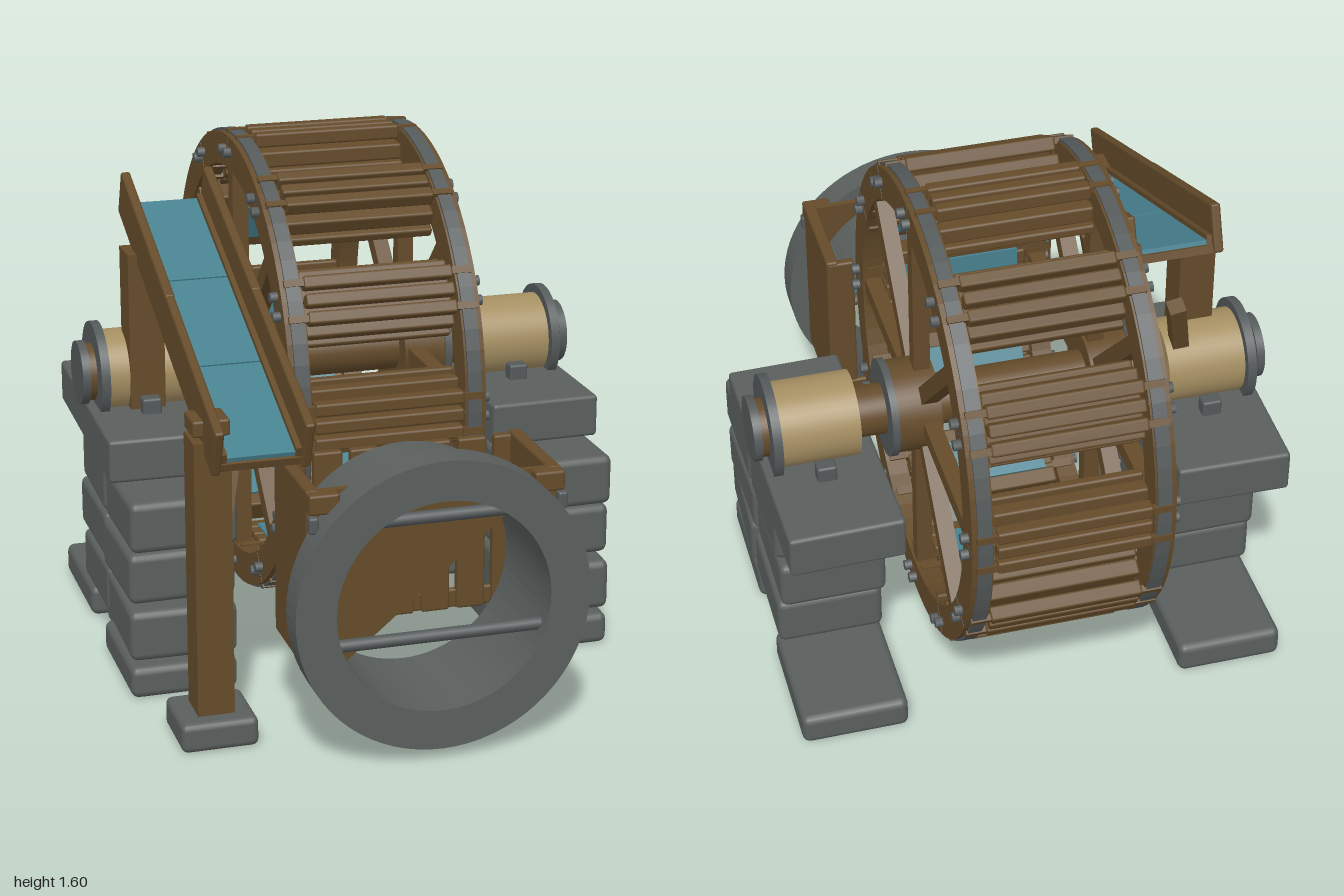
import * as THREE from 'three';
import { RoundedBoxGeometry } from 'three/addons/geometries/RoundedBoxGeometry.js';

const mat = (name, color, side = THREE.FrontSide) => {
  const m = new THREE.MeshStandardMaterial({ color, side });
  m.name = name;
  return m;
};

export function createModel() {
  const wood = mat('wood', 0x644b2a);
  const paleWood = mat('paleWood', 0xa58f62);
  const stone = mat('stone', 0x5a5f5d);
  const iron = mat('iron', 0x54595a);
  const water = mat('water', 0x47818f);

  let seed = 7;
  const rand = () => (seed = (seed * 16807) % 2147483647) / 2147483647 - 0.5;

  const root = new THREE.Group();
  root.name = 'waterMill';
  const group = (name, parent = root) => {
    const g = new THREE.Group();
    g.name = name;
    parent.add(g);
    return g;
  };
  const add = (parent, name, geo, m, x = 0, y = 0, z = 0) => {
    const mesh = new THREE.Mesh(geo, m);
    mesh.name = name;
    mesh.position.set(x, y, z);
    parent.add(mesh);
    return mesh;
  };
  const box = (parent, name, m, w, h, d, x, y, z) =>
    add(parent, name, new THREE.BoxGeometry(w, h, d), m, x, y, z);
  // rounded beam
  const beam = (parent, name, m, w, h, d, x, y, z, r = 0.008) =>
    add(parent, name, new RoundedBoxGeometry(w, h, d, 2, r), m, x, y, z);
  // cylinder lying along x, from x0 to x1
  const rod = (parent, name, m, r, x0, x1, y = 0, z = 0, n = 40) => {
    const c = add(parent, name, new THREE.CylinderGeometry(r, r, Math.abs(x1 - x0), n), m, (x0 + x1) / 2, y, z);
    c.rotation.z = Math.PI / 2;
    return c;
  };
  // flat ring extruded along z, centred on the origin
  const ringGeo = (outer, inner, depth) => {
    const s = new THREE.Shape().absarc(0, 0, outer, 0, Math.PI * 2);
    s.holes.push(new THREE.Path().absarc(0, 0, inner, 0, Math.PI * 2, true));
    return new THREE.ExtrudeGeometry(s, { depth, bevelEnabled: false, curveSegments: 36 }).translate(0, 0, -depth / 2);
  };
  // square timber between two points
  const strut = (parent, name, a, b, t) => {
    const p = new THREE.Vector3(...a), q = new THREE.Vector3(...b);
    const s = box(parent, name, wood, t, p.distanceTo(q), t, 0, 0, 0);
    s.position.copy(p).lerp(q, 0.5);
    s.quaternion.setFromUnitVectors(new THREE.Vector3(0, 1, 0), q.sub(p).normalize());
  };

  // ---- Wheel ----
  const wheel = group('wheel');
  wheel.position.set(0, 0.858, -0.255);
  rod(wheel, 'axle', wood, 0.078, -0.5, 0.5);
  for (const s of [-1, 1]) {
    const rim = add(wheel, 'rim', ringGeo(0.722, 0.62, 0.064), wood, s * 0.27);
    rim.rotation.y = Math.PI / 2;
    const tire = add(wheel, 'tire', ringGeo(0.73, 0.715, 0.042), iron, s * 0.265);
    tire.rotation.y = Math.PI / 2;
    rod(wheel, 'hub', wood, 0.142, s * 0.235, s * 0.38);
    rod(wheel, 'hubBand', iron, 0.15, s * 0.368, s * 0.39);
    for (let i = 0; i < 8; i++) {
      const arm = group('spokeArm', wheel);
      arm.rotation.x = (i * Math.PI) / 4;
      box(arm, 'spoke', wood, 0.05, 0.54, 0.052, s * 0.27, 0.37, 0);
    }
    for (let i = 0; i < 12; i++) {
      const joint = group('rimJoint', wheel);
      joint.rotation.x = (i * Math.PI) / 6;
      box(joint, 'jointSeam', iron, 0.066, 0.1, 0.005, s * 0.27, 0.67, 0);
      for (const t of [-0.03, 0.03]) {
        rod(joint, 'bolt', iron, 0.016, s * 0.295, s * 0.325, 0.675, t, 8);
      }
    }
  }
  // buckets: stepped planks, wider toward the axle
  const rows = [
    [0.618, 0.03, [-0.092, -0.03, 0.03, 0.092], 0.052],
    [0.66, 0.05, [-0.08, -0.027, 0.027, 0.08], 0.044],
    [0.715, 0.045, [-0.054, 0, 0.054], 0.04],
  ];
  for (let i = 0; i < 12; i++) {
    const bucket = group('bucket', wheel);
    bucket.rotation.x = (i * Math.PI) / 6;
    for (const [r, h, offsets, w] of rows) {
      for (const t of offsets) beam(bucket, 'plank', wood, 0.46, h, w, 0, r, t);
    }
    box(bucket, 'bucketBase', wood, 0.44, 0.06, 0.18, 0, 0.655, 0);
    box(bucket, 'bucketWater', water, 0.4, 0.008, 0.14, 0, 0.6, 0);
    for (const t of [-0.06, 0.06]) box(bucket, 'bucketPeg', wood, 0.58, 0.025, 0.025, 0, 0.622, t);
    for (const t of [-0.055, 0.055]) box(bucket, 'rimPeg', wood, 0.58, 0.02, 0.022, 0, 0.722, t);
  }

  // ---- Bearings and stone piers ----
  const layers = [
    [0.05, 0.1, 0.145, 0.41, -0.53, 0.42],
    [0.2, 0.16, 0.165, 0.37, -0.225, 0.37],
    [0.37, 0.16, 0.125, 0.37, -0.255, 0.37],
    [0.54, 0.16, 0.15, 0.36, -0.225, 0.37],
  ];
  for (const s of [-1, 1]) {
    const bearing = group('bearing');
    bearing.position.set(0, 0.858, -0.25);
    rod(bearing, 'bearingDrum', paleWood, 0.13, s * 0.48, s * 0.73);
    rod(bearing, 'bearingDisc', iron, 0.158, s * 0.722, s * 0.75);
    rod(bearing, 'axleEnd', wood, 0.09, s * 0.75, s * 0.775);
    rod(bearing, 'axleCap', iron, 0.1, s * 0.772, s * 0.797);
    for (const z of [-0.165, 0.165]) beam(bearing, 'bearingClamp', iron, 0.06, 0.06, 0.05, s * 0.6, -0.075, z);

    const pier = group('pier');
    for (const [y, h, z1, d1, z2, d2] of layers) {
      for (const [z, d] of [[z1, d1], [z2, d2]]) {
        const b = beam(pier, 'stoneBlock', stone, 0.33, h, d, s * 0.6 + rand() * 0.015, y, z, 0.024);
        if (y > 0.1) b.rotation.y = rand() * 0.07;
      }
    }
    const cap = beam(pier, 'capStone', stone, 0.35, 0.135, 0.84, s * 0.602, 0.697, -0.257, 0.012);
    cap.rotation.y = s * 0.02;
  }

  // ---- Chute on two posts ----
  const chute = group('chute');
  chute.position.set(-0.48, 1.164, 0.23);
  chute.rotation.x = 0.376;
  for (const s of [-1, 1]) {
    beam(chute, 'chuteWallLower', wood, 0.028, 0.155, 0.66, s * 0.131, 0, 0.305);
    beam(chute, 'chuteWallUpper', wood, 0.03, 0.15, 0.64, s * 0.131, 0.004, -0.315);
    box(chute, 'chuteCurb', wood, 0.02, 0.05, 1.24, s * 0.11, -0.04, 0);
  }
  box(chute, 'chuteFloor', wood, 0.24, 0.025, 1.25, 0, -0.058, 0);
  for (const z of [-0.413, 0, 0.413]) box(chute, 'chuteWater', water, 0.202, 0.014, 0.407, 0, -0.037, z);

  for (const [z, top, b0, b1] of [
    [0.65, 0.93, [-0.57, 0.45, 0.58], [-0.46, 0.9, 0.42]],
    [-0.18, 1.26, [-0.57, 0.76, -0.23], [-0.485, 1.16, -0.385]],
  ]) {
    const post = group('chutePost');
    box(post, 'postTimber', wood, 0.11, top - 0.06, 0.12, -0.6, (top + 0.06) / 2, z);
    beam(post, 'postFooting', stone, 0.23, 0.09, 0.23, -0.6, 0.046, z, 0.02);
    strut(post, 'postBrace', b0, b1, 0.05);
  }
  beam(root, 'postPeg', wood, 0.11, 0.05, 0.11, -0.6, 0.97, 0.65);

  // ---- Sluice box ----
  const sluice = group('sluiceBox');
  for (const s of [-1, 1]) {
    beam(sluice, 'sideBoard', wood, 0.04, 0.555, 0.345, s * 0.36, 0.55, 0.727);
    beam(sluice, 'cornerBlock', wood, 0.09, 0.06, 0.05, s * 0.335, 0.795, 0.91);
    beam(sluice, 'cornerBolt', iron, 0.03, 0.05, 0.03, s * 0.37, 0.74, 0.935);
    box(sluice, 'boxWaterSide', water, 0.07, 0.008, 0.27, s * 0.305, 0.68, 0.745);
  }
  box(sluice, 'boxWaterBack', water, 0.66, 0.008, 0.03, 0, 0.68, 0.597);
  for (let i = -3; i <= 3; i++) beam(sluice, 'backSlat', wood, 0.088, 0.54, 0.03, i * 0.111, 0.55, 0.568);
  beam(sluice, 'backRail', wood, 0.7, 0.06, 0.02, 0, 0.31, 0.56);
  // front board cut away around the tunnel
  const front = new THREE.Shape();
  front.moveTo(-0.37, 0.27);
  front.absarc(0, 0.475, 0.36, Math.PI + 0.606, Math.PI - 0.6, true);
  front.absarc(0, 0.475, 0.355, Math.PI - 0.6, 0.6, true);
  front.absarc(0, 0.475, 0.36, 0.6, -0.606, true);
  front.lineTo(0.37, 0.27);
  front.lineTo(0.37, 0.825);
  front.lineTo(-0.37, 0.825);
  add(sluice, 'frontBoard', new THREE.ExtrudeGeometry(front, { depth: 0.022, bevelEnabled: false, curveSegments: 20 }), wood, 0, 0, 0.876);

  // ---- Round stone tunnel with bars ----
  const tunnel = group('tunnel');
  tunnel.position.set(0, 0.475, 0);
  add(tunnel, 'tunnelPipe', ringGeo(0.366, 0.322, 0.3), stone, 0, 0, 0.76);
  add(tunnel, 'tunnelRing', ringGeo(0.44, 0.32, 0.1), stone, 0, 0, 0.95);
  rod(tunnel, 'upperBar', iron, 0.019, -0.31, 0.31, 0.26, 0.95, 10);
  rod(tunnel, 'lowerBar', iron, 0.019, -0.32, 0.32, -0.105, 0.95, 10);

  return root;
}
